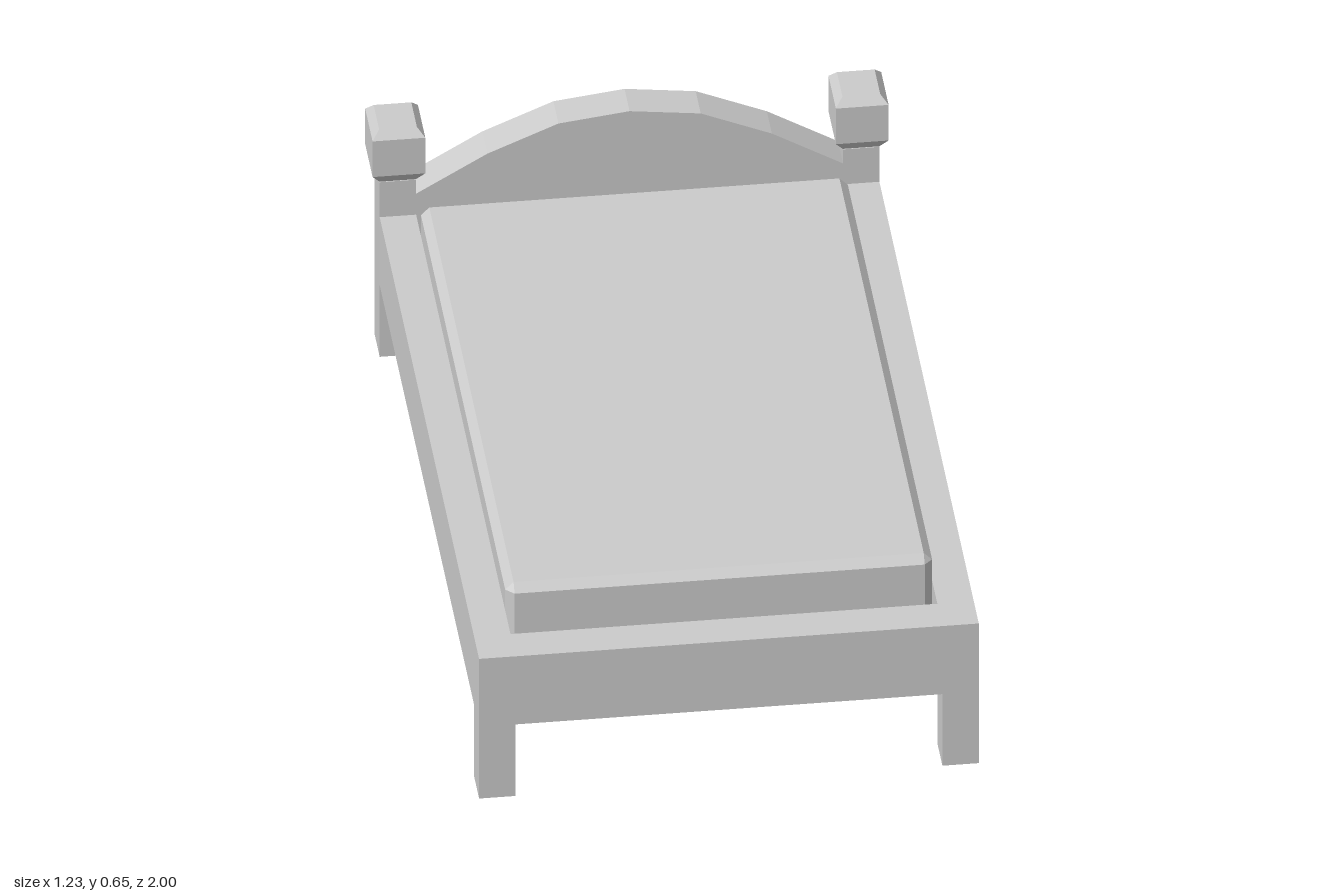
import * as THREE from 'three';

const material = new THREE.MeshStandardMaterial({ color: 0xcccccc, flatShading: true });

// Outer faces of the bed frame and the opening inside it
const X = 0.597, BACK = -0.975, FRONT = 1;
const IN_X = 0.51, IN_BACK = -0.88, IN_FRONT = 0.905;
const RAIL_BOTTOM = 0.205, RAIL_TOP = 0.4, POST_TOP = 0.5;

function add(parent, name, geometry) {
  const mesh = new THREE.Mesh(geometry, material);
  mesh.name = name;
  parent.add(mesh);
  return mesh;
}

// Box given by its two opposite corners
function boxBetween(x0, x1, y0, y1, z0, z1) {
  return new THREE.BoxGeometry(x1 - x0, y1 - y0, z1 - z0)
    .translate((x0 + x1) / 2, (y0 + y1) / 2, (z0 + z1) / 2);
}

// Stacked rectangles [y, halfWidth, halfDepth, cornerCut], joined and capped
function stack(sections) {
  const rings = sections.map(([y, w, d, c]) => [
    [w, d - c], [w - c, d], [c - w, d], [-w, d - c],
    [-w, c - d], [c - w, -d], [w - c, -d], [w, c - d],
  ].map(([x, z]) => new THREE.Vector3(x, y, z)));
  const positions = [];
  const triangle = (a, b, c) => {
    if (new THREE.Triangle(a, b, c).getArea() < 1e-9) return;
    for (const p of [a, b, c]) positions.push(p.x, p.y, p.z);
  };
  for (let s = 0; s + 1 < rings.length; s++) {
    const lo = rings[s], hi = rings[s + 1];
    for (let i = 0; i < 8; i++) {
      const j = (i + 1) % 8;
      triangle(lo[i], hi[i], hi[j]);
      triangle(lo[i], hi[j], lo[j]);
    }
  }
  const bottom = rings[0], top = rings[rings.length - 1];
  for (let i = 1; i < 7; i++) {
    triangle(bottom[0], bottom[i], bottom[i + 1]);
    triangle(top[0], top[i + 1], top[i]);
  }
  const geometry = new THREE.BufferGeometry();
  geometry.setAttribute('position', new THREE.Float32BufferAttribute(positions, 3));
  geometry.computeVertexNormals();
  return geometry;
}

const outline = (points) => points.map(([x, y]) => new THREE.Vector2(x, y));

export function createModel() {
  const bed = new THREE.Group();
  bed.name = 'bed';

  // Rails: one rectangular ring
  const plan = new THREE.Shape(outline([[-X, BACK], [X, BACK], [X, FRONT], [-X, FRONT]]));
  plan.holes.push(new THREE.Path(outline([
    [-IN_X, IN_BACK], [-IN_X, IN_FRONT], [IN_X, IN_FRONT], [IN_X, IN_BACK],
  ])));
  const rails = new THREE.ExtrudeGeometry(plan, { depth: RAIL_TOP - RAIL_BOTTOM, bevelEnabled: false });
  add(bed, 'rails', rails.rotateX(Math.PI / 2).translate(0, RAIL_TOP, 0));

  // Base board closing the ring from below
  add(bed, 'baseBoard', boxBetween(-IN_X, IN_X, RAIL_BOTTOM, 0.25, IN_BACK, IN_FRONT));

  // Mattress with cut corners and a bevelled top edge
  add(bed, 'mattress', stack([
    [0.25, 0.51, 0.817, 0.02], [0.46, 0.51, 0.817, 0.02], [0.48, 0.49, 0.797, 0],
  ])).position.z = 0.008;

  // Arched headboard between the posts
  const arch = new THREE.Shape(outline([
    [-IN_X, RAIL_TOP], [IN_X, RAIL_TOP], [IN_X, 0.46], [0.34, 0.56], [0.17, 0.632],
    [0, 0.653], [-0.17, 0.632], [-0.34, 0.56], [-IN_X, 0.46],
  ]));
  const headboard = new THREE.ExtrudeGeometry(arch, { depth: IN_BACK - BACK, bevelEnabled: false });
  add(bed, 'headboard', headboard.translate(0, 0, BACK));

  // Legs, head posts and post caps on both sides
  for (const [side, label] of [[1, 'left'], [-1, 'right']]) {
    const x0 = side > 0 ? IN_X : -X;
    const x1 = side > 0 ? X : -IN_X;
    add(bed, label + 'FrontLeg', boxBetween(x0, x1, 0, RAIL_BOTTOM, IN_FRONT, FRONT));
    add(bed, label + 'BackLeg', boxBetween(x0, x1, 0, RAIL_BOTTOM, BACK, IN_BACK));
    add(bed, label + 'HeadPost', boxBetween(x0, x1, RAIL_TOP, POST_TOP, BACK, IN_BACK));
    const cap = add(bed, label + 'PostCap', stack([
      [POST_TOP, 0.0435, 0.0475, 0], [0.53, 0.063, 0.07, 0],
      [0.632, 0.063, 0.07, 0], [0.653, 0.045, 0.052, 0],
    ]));
    cap.position.set(side * (X + IN_X) / 2, 0, -0.93);
  }

  return bed;
}
